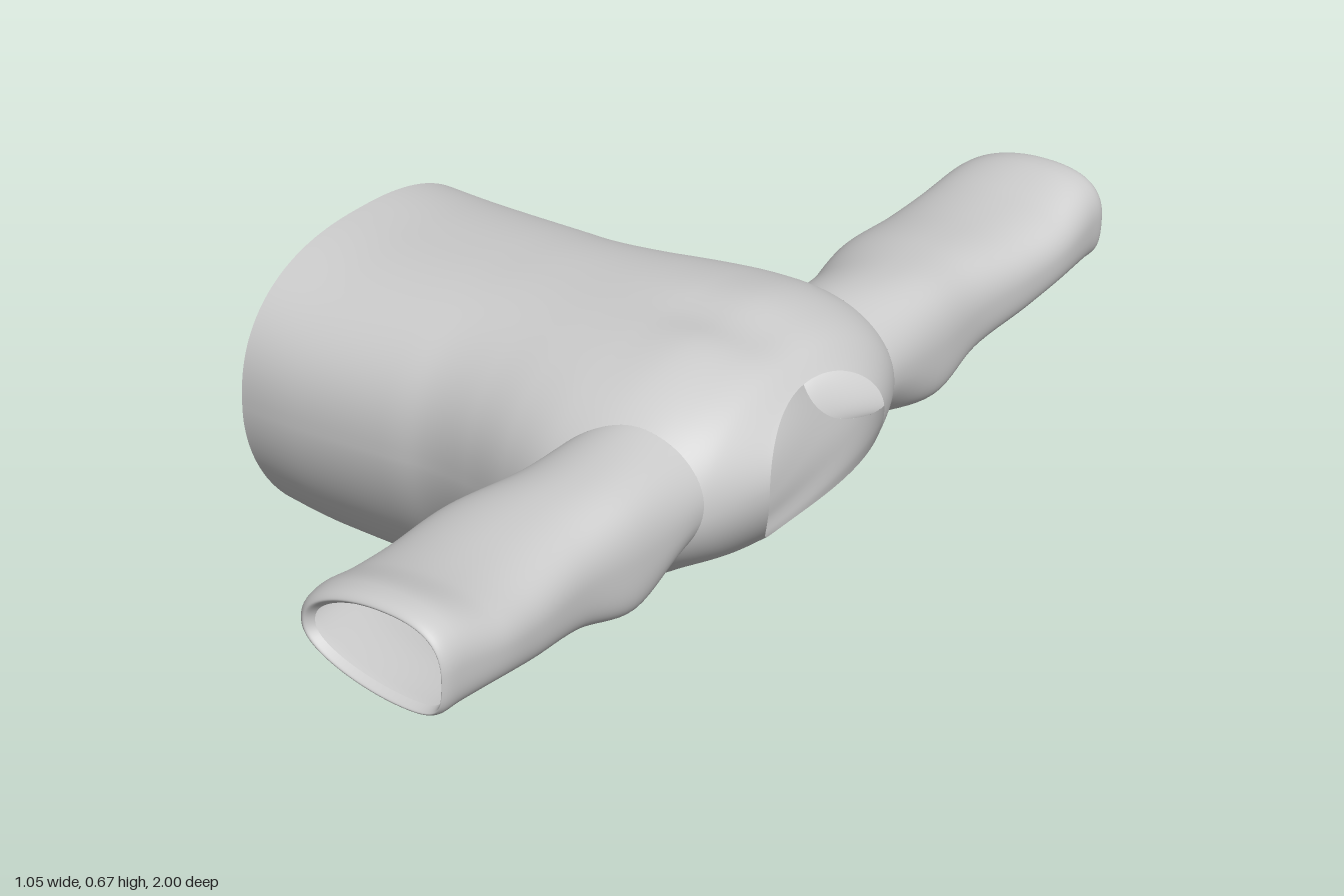
import * as THREE from 'three';

// Torso stations from hem to neck: [x at top, x at sides, x at bottom, y top, y bottom,
// half width, y of widest point, exponent of upper half, exponent of lower half]
const STATIONS = [
  [-0.525, -0.515, -0.495, 0.63, 0.035, 0.355, 0.37, 0.82, 1.02],
  [-0.4, -0.4, -0.4, 0.628, 0.015, 0.355, 0.37, 0.82, 1.06],
  [-0.2, -0.2, -0.2, 0.64, 0.0, 0.342, 0.375, 0.82, 1.12],
  [-0.1, -0.1, -0.1, 0.647, 0.02, 0.335, 0.38, 0.82, 1.1],
  [0, 0, 0, 0.653, 0.065, 0.35, 0.39, 0.82, 1.06],
  [0.1, 0.1, 0.1, 0.66, 0.112, 0.375, 0.4, 0.82, 1.03],
  [0.2, 0.2, 0.2, 0.667, 0.148, 0.395, 0.41, 0.84, 1],
  [0.3, 0.3, 0.3, 0.672, 0.21, 0.392, 0.42, 0.87, 1],
  [0.38, 0.39, 0.37, 0.658, 0.262, 0.37, 0.435, 0.9, 1],
  [0.438, 0.465, 0.42, 0.638, 0.288, 0.3, 0.46, 0.95, 1],
  [0.48, 0.525, 0.44, 0.605, 0.3, 0.176, 0.48, 1, 1],
];

// Sleeve rings beyond the armhole: [z, x min, x max, y bottom, y top]; the last two round the cuff rim
const RINGS = [
  [0.46, 0.165, 0.47, 0.338, 0.586],
  [0.6, 0.135, 0.463, 0.37, 0.575],
  [0.75, 0.14, 0.478, 0.395, 0.566],
  [0.85, 0.15, 0.488, 0.415, 0.576],
  [0.95, 0.165, 0.483, 0.42, 0.605],
  [0.99, 0.175, 0.478, 0.42, 0.602],
  [1.0, 0.187, 0.472, 0.427, 0.593],
  [0.985, 0.2, 0.467, 0.437, 0.582],
];
const LEAN = 0.06; // shifts the lowest part of each sleeve ring towards the neck

// Armhole: an ellipse in the torso's (station, angle) space
const HOLE = { u: 7.45, a: 0.1, ru: 1.62, ra: 0.64 };

const power = (v, e) => Math.sign(v) * Math.abs(v) ** e;

function catmull(p0, p1, p2, p3, t) {
  return 0.5 * (2 * p1 + (p2 - p0) * t + (2 * p0 - 5 * p1 + 4 * p2 - p3) * t * t
    + (3 * p1 - p0 - 3 * p2 + p3) * t * t * t);
}

// Point on the torso surface at station u and angle a (0 = front side, PI/2 = top)
function torsoPoint(u, a) {
  const last = STATIONS.length - 1;
  const i = Math.min(Math.floor(u), last - 1);
  const at = (n) => STATIONS[Math.max(0, Math.min(last, n))];
  const [xt, xs, xb, yt, yb, w, ym, et, eb] = STATIONS[0].map((_, k) =>
    catmull(at(i - 1)[k], at(i)[k], at(i + 1)[k], at(i + 2)[k], u - i));
  const c = Math.cos(a), s = Math.sin(a);
  const e = s > 0 ? et : eb;
  const z = w * power(c, e);
  const x = xs + ((s > 0 ? xt : xb) - xs) * s * s;
  const y = ym + (s > 0 ? yt - ym : ym - yb) * power(s, e);
  // shallow dip along the spine between the shoulders
  const dip = s > 0 ? 0.014 * Math.exp(-((z / 0.07) ** 2)) * Math.exp(-(((x - 0.3) / 0.12) ** 2)) : 0;
  return new THREE.Vector3(x, y - dip, z);
}

// Grid surface closed around its second direction; keep() may drop cells
function tubeGrid(rows, cols, point, keep = () => true, flip = false) {
  const pos = [], index = [];
  for (let i = 0; i <= rows; i++)
    for (let j = 0; j < cols; j++) pos.push(...point(i, j).toArray());
  for (let i = 0; i < rows; i++)
    for (let j = 0; j < cols; j++) {
      if (!keep(i, j)) continue;
      const k = (j + 1) % cols;
      const a = i * cols + j, b = (i + 1) * cols + j, c = (i + 1) * cols + k, d = i * cols + k;
      if (flip) index.push(a, c, b, a, d, c);
      else index.push(a, b, c, a, c, d);
    }
  const geo = new THREE.BufferGeometry();
  geo.setAttribute('position', new THREE.Float32BufferAttribute(pos, 3));
  geo.setIndex(index);
  geo.computeVertexNormals();
  return geo;
}

// Torso with both armholes cut out, border vertices snapped to the armhole edge
function torsoGeometry() {
  const rows = 120, cols = 128;
  const param = (i, j) => {
    const u = (i / rows) * (STATIONS.length - 1);
    const a = -Math.PI / 2 + (j % cols) / cols * Math.PI * 2;
    const back = a > Math.PI / 2;
    const f = back ? Math.PI - a : a;
    const d = Math.hypot((u - HOLE.u) / HOLE.ru, (f - HOLE.a) / HOLE.ra);
    return { u, f, back, d };
  };
  const point = (i, j) => {
    let { u, f, back, d } = param(i, j);
    if (d < 1 && d > 0) {
      u = HOLE.u + (u - HOLE.u) / d;
      f = HOLE.a + (f - HOLE.a) / d;
    }
    return torsoPoint(u, back ? Math.PI - f : f);
  };
  const keep = (i, j) => [[0, 0], [1, 0], [0, 1], [1, 1]].some(([p, q]) => param(i + p, j + q).d >= 1);
  return tubeGrid(rows, cols, point, keep);
}

// Sleeve lofted from the armhole edge through the rings
function sleeveGeometry(side) {
  const rows = 64, cols = 80;
  const strands = Array.from({ length: cols }, (_, j) => {
    const t = (j / cols) * Math.PI * 2, c = Math.cos(t), s = Math.sin(t);
    const root = torsoPoint(HOLE.u + HOLE.ru * c, HOLE.a + HOLE.ra * s);
    const lean = LEAN * s * s * (s < 0 ? 1 : 0.5);
    const pts = RINGS.map(([z, x0, x1, y0, y1]) => new THREE.Vector3(
      (x0 + x1) / 2 + (x1 - x0) / 2 * power(c, 0.92) + lean,
      (y0 + y1) / 2 + (y1 - y0) / 2 * power(s, 0.92), z));
    return new THREE.CatmullRomCurve3([root, ...pts], false, 'centripetal');
  });
  const point = (i, j) => {
    const p = strands[j].getPoint(i / rows);
    p.z *= side;
    return p;
  };
  return tubeGrid(rows, cols, point, undefined, side > 0);
}

export function createModel() {
  const group = new THREE.Group();
  group.name = 'garment';
  const cloth = new THREE.MeshStandardMaterial({ color: 0xcccccc, side: THREE.DoubleSide });
  const add = (name, geo) => {
    const mesh = new THREE.Mesh(geo, cloth);
    mesh.name = name;
    group.add(mesh);
  };
  add('torso', torsoGeometry());
  add('frontSleeve', sleeveGeometry(1));
  add('backSleeve', sleeveGeometry(-1));
  return group;
}
